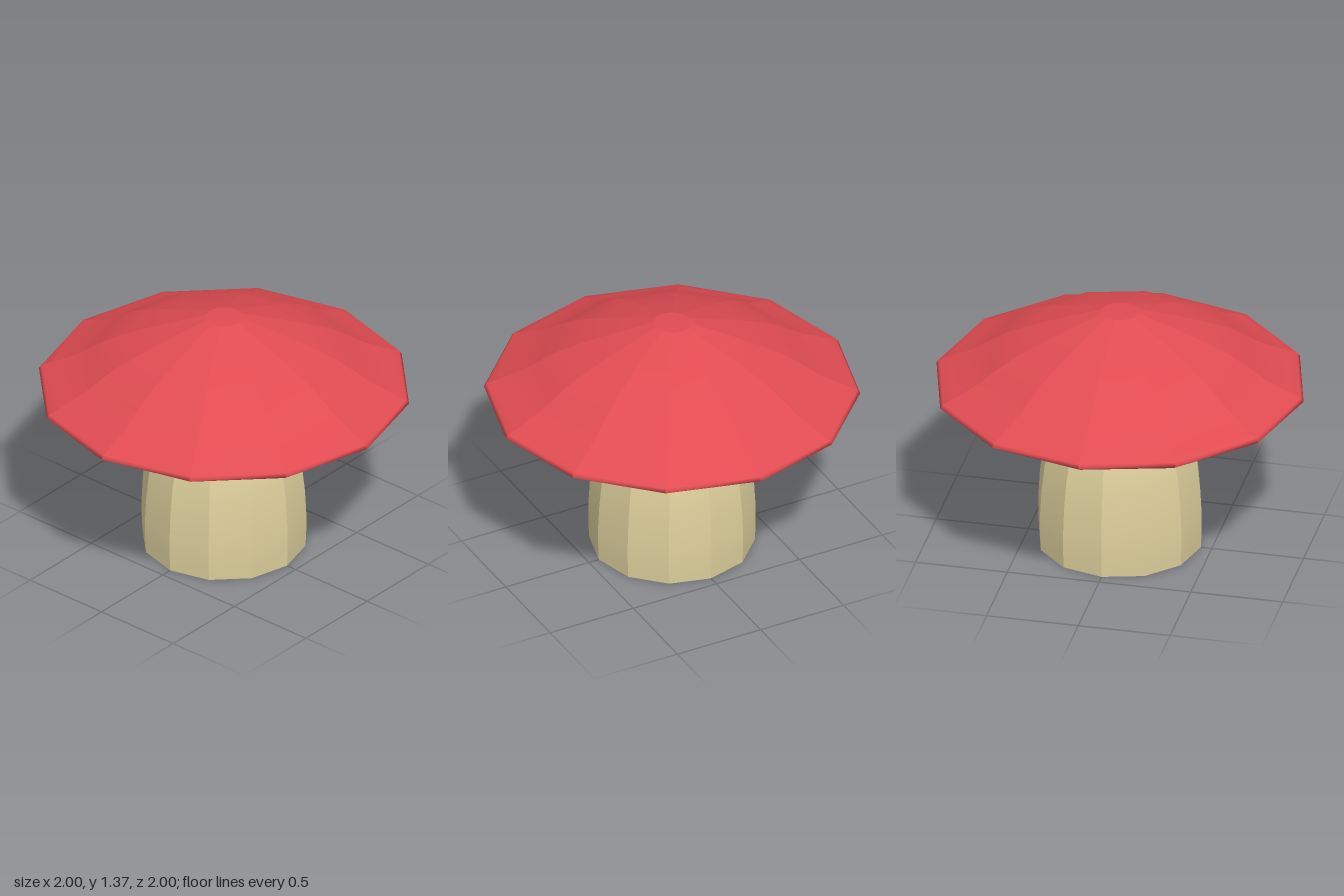
import * as THREE from 'three';
import { mergeGeometries } from 'three/addons/utils/BufferGeometryUtils.js';

const SIDES = 12;

// Turns a profile (bottom to top) into strips: facets around, smooth along the profile
function facetedLathe(profile) {
  const strips = [];
  for (let i = 0; i < SIDES; i++) {
    const positions = [], index = [];
    profile.forEach(([r, y], j) => {
      for (const k of [i, i + 1]) {
        const a = (k / SIDES) * Math.PI * 2;
        positions.push(r * Math.sin(a), y, r * Math.cos(a));
      }
      if (j > 0) {
        const n = (j - 1) * 2;
        index.push(n, n + 1, n + 3, n, n + 3, n + 2);
      }
    });
    const g = new THREE.BufferGeometry();
    g.setAttribute('position', new THREE.Float32BufferAttribute(positions, 3));
    g.setIndex(index);
    g.computeVertexNormals();
    strips.push(g);
  }
  return mergeGeometries(strips);
}

export function createModel() {
  const group = new THREE.Group();
  const capRed = new THREE.MeshStandardMaterial({ name: 'cap red', color: 0xe04c52 });
  const stemCream = new THREE.MeshStandardMaterial({ name: 'stem cream', color: 0xddcf9c });

  const add = (name, material, profile) => {
    const mesh = new THREE.Mesh(facetedLathe(profile), material);
    mesh.name = name;
    group.add(mesh);
  };

  // Stem: gently bulging barrel with a flat base
  add('stemBase', stemCream, [[0, 0], [0.44, 0]]);
  add('stem', stemCream, [
    [0.44, 0], [0.445, 0.1], [0.445, 0.2], [0.437, 0.35], [0.42, 0.5],
    [0.392, 0.63], [0.36, 0.74], [0.33, 0.83],
  ]);

  // Cap: shallow underside, rounded rim, flared dome and small flat crown
  add('capUnderside', capRed, [[0, 0.82], [0.33, 0.82]]);
  add('cap', capRed, [
    [0.33, 0.82], [0.55, 0.843], [0.75, 0.871], [0.88, 0.896], [0.965, 0.922],
    [1, 0.945], [0.985, 0.965], [0.925, 0.99], [0.79, 1.055], [0.71, 1.11],
    [0.605, 1.175], [0.47, 1.235], [0.29, 1.305], [0.1, 1.372],
  ]);
  add('capCrown', capRed, [[0.1, 1.372], [0, 1.372]]);

  return group;
}
